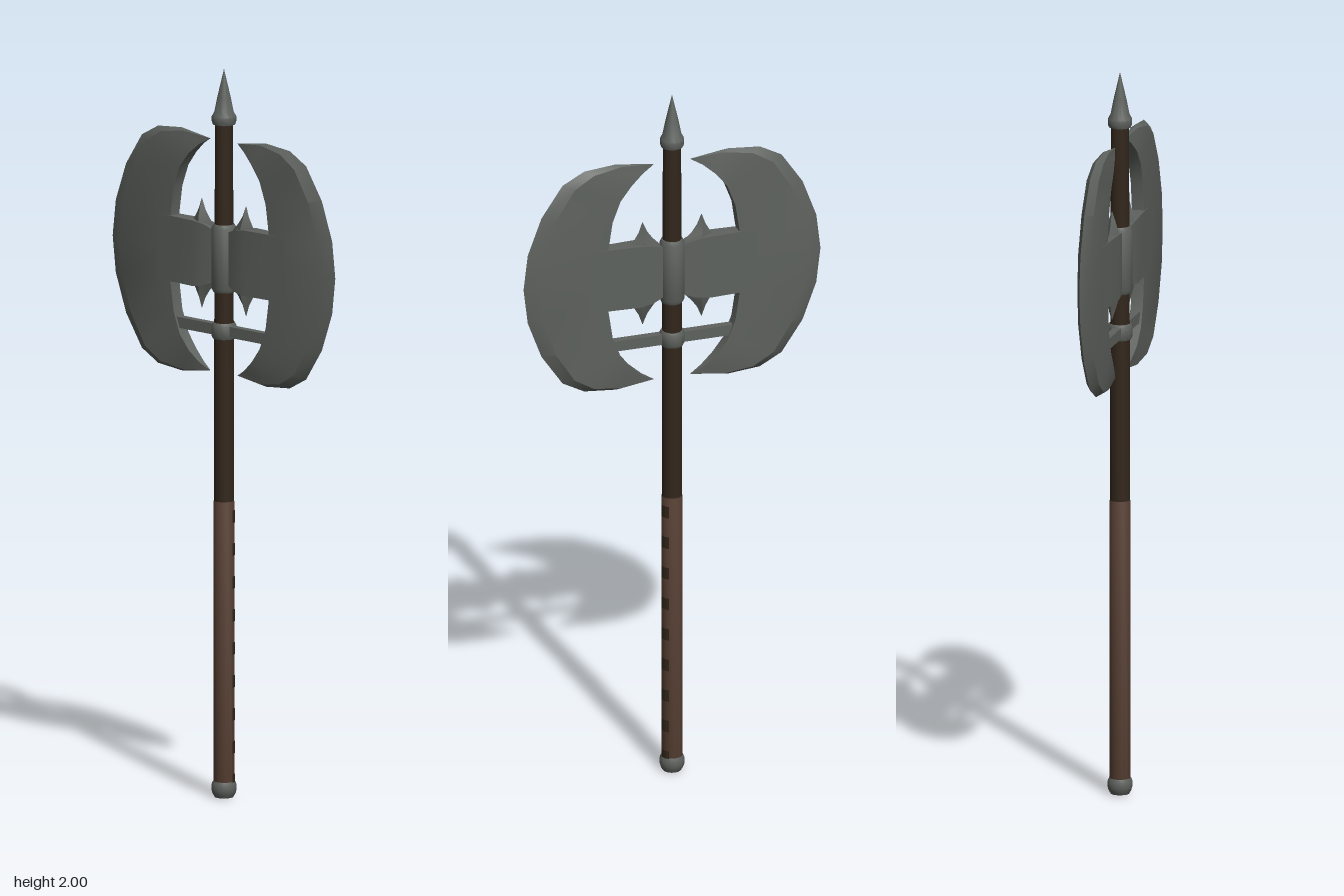
import * as THREE from 'three';
import { toCreasedNormals } from 'three/addons/utils/BufferGeometryUtils.js';

const metal = new THREE.MeshStandardMaterial({ name: 'grey steel', color: 0x5e625e });
const wood = new THREE.MeshStandardMaterial({ name: 'dark wood', color: 0x32261b });
const leather = new THREE.MeshStandardMaterial({ name: 'brown leather', color: 0x573f33 });

const HEAD_Y = 1.485;

function add(parent, name, geometry, material) {
  const mesh = new THREE.Mesh(geometry, material);
  mesh.name = name;
  parent.add(mesh);
  return mesh;
}

// Closed solid through a list of rings with equal point counts
function loft(rings, crease = 0.45) {
  const n = rings[0].length, pts = rings.flat(), tris = [];
  for (let i = 0; i < rings.length - 1; i++) {
    for (let j = 0; j < n; j++) {
      const a = i * n + j, b = i * n + (j + 1) % n;
      tris.push([a, b, b + n], [a, b + n, a + n]);
    }
  }
  const last = (rings.length - 1) * n;
  for (let j = 1; j < n - 1; j++) tris.push([0, j + 1, j], [last, last + j, last + j + 1]);
  // Turn the faces outward whatever the ring direction
  const v = pts.map(p => new THREE.Vector3(...p));
  const volume = tris.reduce((s, [a, b, c]) => s + v[a].dot(v[b].clone().cross(v[c])), 0);
  if (volume < 0) tris.forEach(t => t.reverse());
  const geometry = new THREE.BufferGeometry();
  geometry.setAttribute('position', new THREE.Float32BufferAttribute(pts.flat(), 3));
  geometry.setIndex(tris.flat());
  return toCreasedNormals(geometry, crease);
}

function lathe(profile, segments = 16) {
  const points = profile.map(([r, y]) => new THREE.Vector2(r, y));
  return toCreasedNormals(new THREE.LatheGeometry(points, segments), 0.6);
}

// Crescent blade: [inner x, inner y, outer x, outer y, half thickness]
function bladeGeometry() {
  const upper = [
    [0.187, 0, 0.423, 0, 0.017],
    [0.187, 0.09, 0.411, 0.1, 0.017],
    [0.175, 0.17, 0.372, 0.205, 0.017],
    [0.152, 0.23, 0.312, 0.293, 0.017],
    [0.12, 0.27, 0.25, 0.326, 0.015],
    [0.085, 0.3, 0.16, 0.334, 0.009],
    [0.053, 0.318, 0.053, 0.319, 0.001],
  ];
  const lower = upper.slice(1).reverse().map(([a, b, c, d, t]) => [a, -b, c, -d, t]);
  return loft([...lower, ...upper].map(([ix, iy, ox, oy, t]) => {
    const bx = ix + (ox - ix) * 0.82, by = iy + (oy - iy) * 0.82;
    return [[ix, iy, t], [bx, by, t], [ox, oy, 0], [bx, by, -t], [ix, iy, -t]];
  }));
}

// Neck between hub and blade: [x, half height, half thickness]
function neckGeometry() {
  const stations = [[0.02, 0.07, 0.012], [0.06, 0.085, 0.021], [0.1, 0.09, 0.024],
    [0.187, 0.09, 0.0195], [0.24, 0.088, 0.0172]];
  return loft(stations.map(([x, h, t]) => [[x, h, t], [x, h, -t], [x, -h, -t], [x, -h, t]]));
}

// Curved barb that thins toward its point: [inner x, outer x, y, half thickness]
function barbGeometry(side) {
  const stations = [[0.025, 0.125, 0.06, 0.022], [0.035, 0.122, 0.08, 0.02],
    [0.055, 0.108, 0.1, 0.016], [0.071, 0.095, 0.122, 0.01], [0.083, 0.085, 0.15, 0.001]];
  return loft(stations.map(([a, b, y, t]) =>
    [[a, y * side, 0], [(a + b) / 2, y * side, t], [b, y * side, 0], [(a + b) / 2, y * side, -t]]));
}

export function createModel() {
  const model = new THREE.Group();
  model.name = 'doubleAxe';

  // Shaft and grip
  add(model, 'shaft', lathe([[0, 0.03], [0.028, 0.03], [0.028, 1.1], [0.025, 1.87], [0, 1.87]], 12), wood);
  add(model, 'grip', lathe([[0.027, 0.03], [0.0295, 0.035], [0.0295, 0.81], [0.027, 0.82]], 12), leather);

  // Gaps along the seam of the grip
  for (let i = 0; i < 9; i++) {
    const gap = add(model, 'gripGap', new THREE.CylinderGeometry(0.0303, 0.0303, 0.034, 4, 1, true,
      Math.PI * 0.52, Math.PI * 0.29), wood);
    gap.position.y = 0.05 + i * 0.0906;
  }

  // Metal fittings
  add(model, 'pommel', lathe([[0, 0], [0.025, 0.002], [0.031, 0.012], [0.034, 0.022], [0.034, 0.036],
    [0.03, 0.046], [0, 0.046]]), metal);
  add(model, 'topSpike', lathe([[0, 1.85], [0.03, 1.85], [0.033, 1.858], [0.033, 1.872], [0.026, 1.885],
    [0.018, 1.925], [0.0005, 2]]), metal);
  add(model, 'collar', lathe([[0, 1.262], [0.03, 1.262], [0.034, 1.27], [0.034, 1.298], [0.03, 1.306],
    [0, 1.306]]), metal);
  add(model, 'hub', lathe([[0, 1.39], [0.029, 1.39], [0.034, 1.4], [0.034, 1.565], [0.029, 1.576],
    [0, 1.576]]), metal);
  const bar = add(model, 'crossbar', new THREE.BoxGeometry(0.36, 0.03, 0.022), metal);
  bar.position.y = 1.284;

  // The two mirrored halves of the head
  const blade = bladeGeometry(), neck = neckGeometry(), barbs = [1, -1].map(barbGeometry);
  for (const [name, turn] of [['leftHead', 0], ['rightHead', Math.PI]]) {
    const head = new THREE.Group();
    head.name = name;
    head.position.y = HEAD_Y;
    head.rotation.y = turn;
    add(head, 'blade', blade, metal);
    add(head, 'neck', neck, metal);
    add(head, 'upperBarb', barbs[0], metal);
    add(head, 'lowerBarb', barbs[1], metal);
    model.add(head);
  }
  return model;
}
